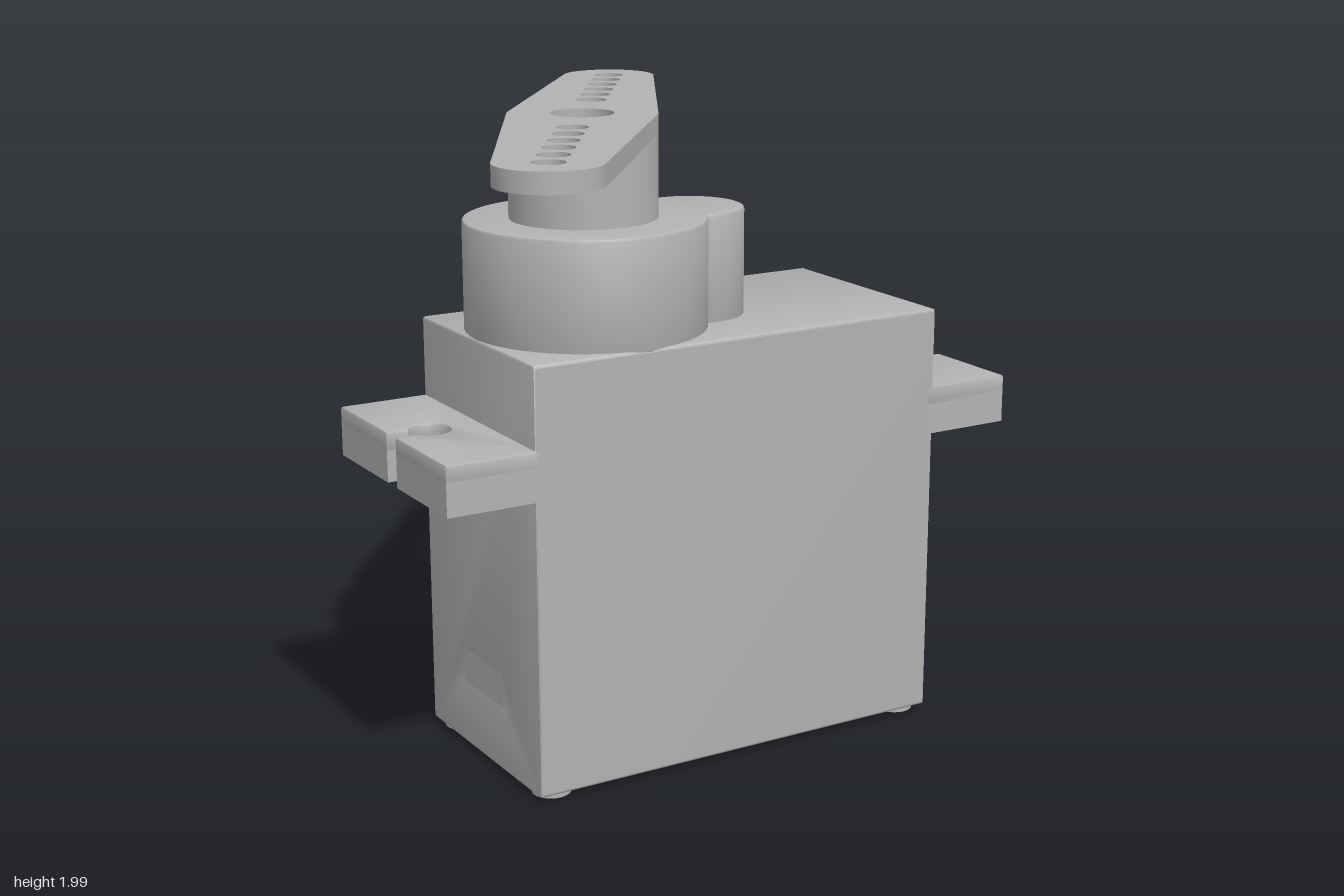
import * as THREE from 'three';
import { toCreasedNormals } from 'three/addons/utils/BufferGeometryUtils.js';

const plastic = new THREE.MeshStandardMaterial({ color: 0xb2b2b2 });
plastic.name = 'grey plastic';

function add(parent, name, geometry) {
  const mesh = new THREE.Mesh(geometry, plastic);
  mesh.name = name;
  parent.add(mesh);
  return mesh;
}

// Extrude from a to b, with edges softened by bevel inside the outline
function extrude(shape, a, b, bevel = 0) {
  const g = new THREE.ExtrudeGeometry(shape, {
    depth: b - a - 2 * bevel, curveSegments: 20, bevelEnabled: bevel > 0,
    bevelThickness: bevel, bevelSize: bevel, bevelOffset: -bevel, bevelSegments: 2,
  });
  g.translate(0, 0, a + bevel);
  return toCreasedNormals(g, 0.6);
}
// Upright extrusion: shape (x, y) lies at (x, -z)
const extrudeUp = (shape, a, b, bevel) => extrude(shape, a, b, bevel).rotateX(-Math.PI / 2);

const circle = (x, y, r) => new THREE.Path().absarc(x, y, r, 0, Math.PI * 2, false);

function roundedRect(x0, x1, y0, y1, r) {
  const s = new THREE.Shape();
  s.absarc(x1 - r, y0 + r, r, -Math.PI / 2, 0, false);
  s.absarc(x1 - r, y1 - r, r, 0, Math.PI / 2, false);
  s.absarc(x0 + r, y1 - r, r, Math.PI / 2, Math.PI, false);
  s.absarc(x0 + r, y0 + r, r, Math.PI, Math.PI * 1.5, false);
  s.closePath();
  return s;
}

// Mounting ear outline with a keyhole slot, shrunk by a wall thickness
function earOutline(x0, wall) {
  const end = 0.99 - wall, half = 0.37 - wall, slot = 0.033 + wall, r = 0.063 + wall;
  const a = Math.asin(slot / r);
  const s = new THREE.Shape();
  s.moveTo(x0, -half);
  s.lineTo(end, -half);
  s.lineTo(end, -slot);
  s.absarc(0.865, 0, r, -a, a - Math.PI * 2, true);
  s.lineTo(end, slot);
  s.lineTo(end, half);
  s.lineTo(x0, half);
  s.closePath();
  return s;
}

function makeEar() {
  const ear = new THREE.Group();
  add(ear, 'earPlate', extrudeUp(earOutline(0.69, 0), 1.03, 1.095, 0.008));
  const rim = earOutline(0.69, 0);
  rim.holes.push(earOutline(0.715, 0.04));
  add(ear, 'earRim', extrudeUp(rim, 0.94, 1.045));
  return ear;
}

// Small screw head with a cross recess, facing down
function screwShape() {
  const s = new THREE.Shape();
  s.absarc(0, 0, 0.06, 0, Math.PI * 2, false);
  const w = 0.01, l = 0.038;
  s.holes.push(new THREE.Path([
    [w, w], [l, w], [l, -w], [w, -w], [w, -l], [-w, -l],
    [-w, -w], [-l, -w], [-l, w], [-w, w], [-w, l], [w, l],
  ].map(([x, y]) => new THREE.Vector2(x, y))));
  return s;
}

// Tapered double arm: outline wraps a hub circle and two end circles
function hornShape(cx) {
  const dx = 0.515, dy = 0.757, R = 0.225, r = 0.15;
  const t = Math.atan2(dy, dx), f = Math.acos((R - r) / Math.hypot(dx, dy)), PI = Math.PI;
  const s = new THREE.Shape();
  s.absarc(cx + dx, dy, r, t - f, t + f, false);
  s.absarc(cx, 0, R, t + f, t + PI - f, false);
  s.absarc(cx - dx, -dy, r, t + PI - f, t + PI + f, false);
  s.absarc(cx, 0, R, t + PI + f, t + 2 * PI - f, false);
  s.closePath();
  s.holes.push(circle(cx, 0, 0.095));
  for (const side of [-1, 1]) {
    for (let i = 0; i < 6; i++) {
      const x = side * (dx - 0.07 * i), y = side * (dy - 0.103 * i);
      s.holes.push(circle(cx + x, y, 0.047));
    }
  }
  return s;
}

export function createModel() {
  const model = new THREE.Group();
  model.name = 'servoMotor';
  const mid = 0.005, axis = -0.335;

  // Case, with a cable slot in the +x end
  const slot = { y0: 0.23, y1: 0.325, z: 0.123 }, b = 0.008;
  const side = roundedRect(-0.37, 0.37, 0.015, 1.345, 0.01);
  side.holes.push(new THREE.Path([
    [-slot.z, slot.y0], [-slot.z, slot.y1], [slot.z, slot.y1], [slot.z, slot.y0],
  ].map(([x, y]) => new THREE.Vector2(x, y))));
  add(model, 'case', extrude(side, -0.705, 0.715, b).rotateY(Math.PI / 2));
  const floor = new THREE.BoxGeometry(1.345, slot.y1 - slot.y0 + 2 * b, 2 * slot.z + 2 * b);
  add(model, 'cableSlotFloor', floor.translate(-0.0325, (slot.y0 + slot.y1) / 2, 0));

  // Mounting ears at both ends
  for (const [name, turn] of [['leftEar', 0], ['rightEar', Math.PI]]) {
    const ear = makeEar();
    ear.name = name;
    ear.position.x = mid;
    ear.rotation.y = turn;
    model.add(ear);
  }

  // Bottom screws
  for (const sx of [-1, 1]) for (const sz of [-1, 1]) {
    const screw = add(model, 'bottomScrew', extrudeUp(screwShape(), 0, 0.016));
    screw.position.set(mid + sx * 0.637, 0, sz * 0.3);
    screw.rotation.y = Math.PI / 4;
  }

  // Gear housing: large round tower joined to a small lobe
  const tower = new THREE.Shape();
  const big = Math.atan2(0.167, 0.33), small = Math.atan2(0.167, -0.035);
  tower.absarc(0.035, 0, 0.17, -small, small, false);
  tower.absarc(-0.33, 0, 0.37, big, Math.PI * 2 - big, false);
  tower.closePath();
  add(model, 'gearHousing', extrudeUp(tower, 1.32, 1.68, 0.01));

  // Output hub with its sunken screw
  const hub = new THREE.CylinderGeometry(0.225, 0.225, 0.27, 40);
  add(model, 'outputHub', hub.translate(axis, 1.8, 0));
  const screwProfile = [[0.052, 1.93], [0.052, 1.958], [0.044, 1.966], [0.026, 1.966], [0.022, 1.945], [0, 1.945]];
  const screw = new THREE.LatheGeometry(screwProfile.map(([x, y]) => new THREE.Vector2(x, y)), 24);
  add(model, 'hubScrew', toCreasedNormals(screw, 0.6)).position.x = axis;

  // Two-armed horn
  add(model, 'horn', extrudeUp(hornShape(axis), 1.93, 1.99));

  return model;
}
